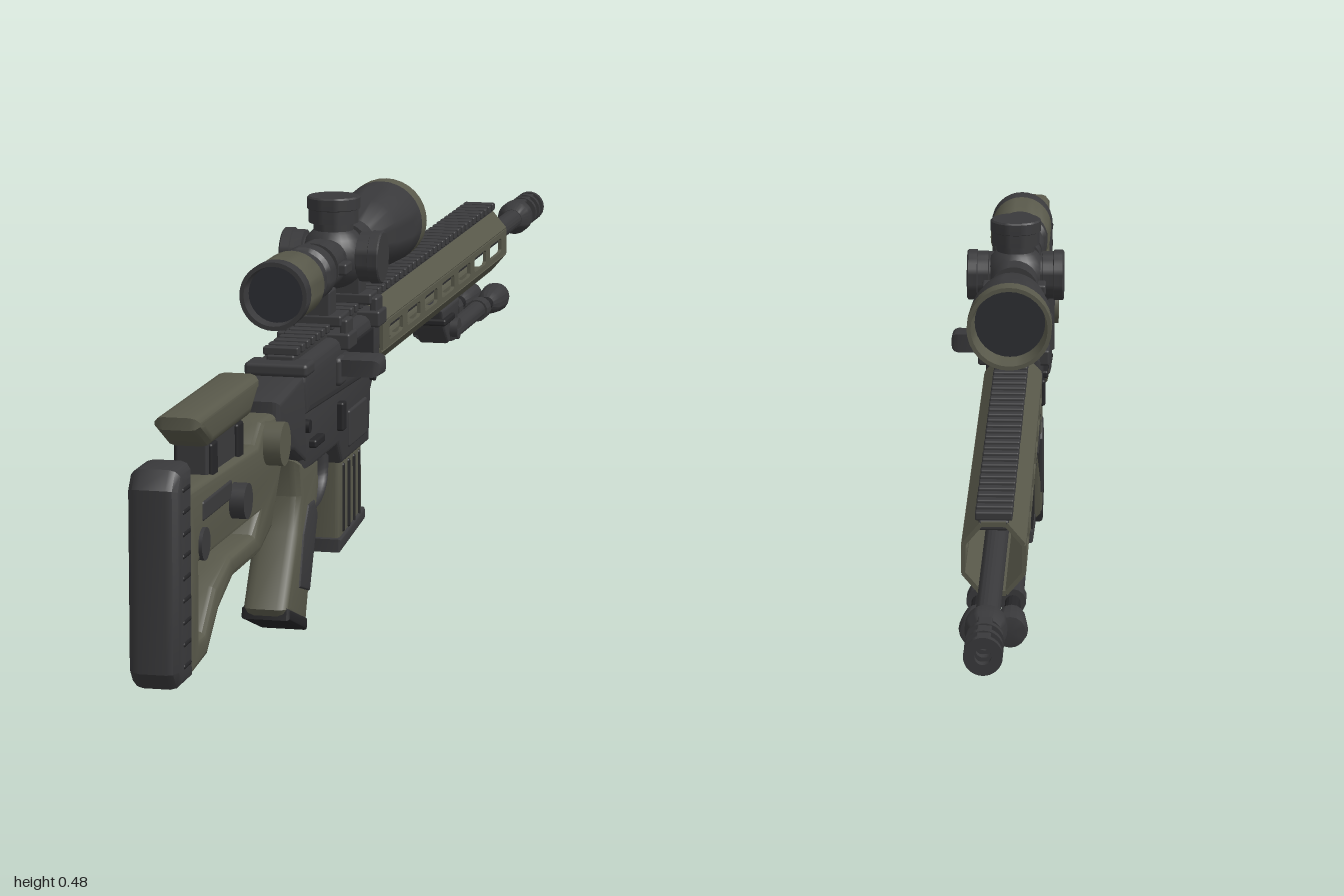
import * as THREE from 'three';
import { toCreasedNormals } from 'three/addons/utils/BufferGeometryUtils.js';
import { RoundedBoxGeometry } from 'three/addons/geometries/RoundedBoxGeometry.js';

const mat = (name, color) => {
  const m = new THREE.MeshStandardMaterial({ color });
  m.name = name;
  return m;
};

export function createModel() {
  const olive = mat('olive', 0x58584a), dark = mat('dark grey', 0x39393b);
  const black = mat('black', 0x252527), glass = mat('glass', 0x2c2d32);
  const root = new THREE.Group();
  root.name = 'rifle';
  root.position.x = -0.013;

  const add = (name, geo, material, x = 0, y = 0, z = 0, parent = root) => {
    const m = new THREE.Mesh(geo, material);
    m.name = name;
    m.position.set(x, y, z);
    parent.add(m);
    return m;
  };
  const group = (name) => {
    const g = new THREE.Group();
    g.name = name;
    root.add(g);
    return g;
  };
  const path = (pts, Type = THREE.Shape) => new Type(pts.map(p => new THREE.Vector2(...p)));
  // Solid from a side outline in (z, y), centred across x, with bevelled edges
  const sideSolid = (pts, width, bevel = 0.006, holes = []) => {
    const shape = path(pts);
    shape.holes = holes.map(h => path(h, THREE.Path));
    const g = new THREE.ExtrudeGeometry(shape, {
      depth: width - 2 * bevel, bevelEnabled: bevel > 0, bevelThickness: bevel,
      bevelSize: bevel, bevelOffset: -bevel, bevelSegments: 3, curveSegments: 8,
    });
    g.translate(0, 0, bevel - width / 2).rotateY(-Math.PI / 2);
    return toCreasedNormals(g, 0.6);
  };
  const box = (w, h, d, r = 0.003) => new RoundedBoxGeometry(w, h, d, 2, r);
  // Turned part along z: points are [radius, z] with z rising
  const turned = (pts, seg = 32) => toCreasedNormals(
    new THREE.LatheGeometry(pts.map(p => new THREE.Vector2(...p)), seg).rotateX(Math.PI / 2), 0.6);
  const rod = (r, z0, z1, seg = 20) => turned([[0, z0], [r, z0], [r, z1], [0, z1]], seg);
  const cross = (r, w, seg = 24) => new THREE.CylinderGeometry(r, r, w, seg).rotateZ(Math.PI / 2);

  // Stock frame, butt pad and cheek rest
  add('stockFrame', sideSolid([
    [0.94, 0.272], [0.65, 0.265], [0.62, 0.285], [0.5, 0.285], [0.5, 0.245], [0.54, 0.215],
    [0.585, 0.155], [0.64, 0.137], [0.76, 0.137], [0.82, 0.115], [0.87, 0.075], [0.94, 0.068],
  ], 0.052, 0.009, [[
    [0.9, 0.185], [0.645, 0.185], [0.665, 0.165], [0.77, 0.165], [0.835, 0.145], [0.88, 0.105], [0.9, 0.105],
  ]]), olive);
  add('buttPad', sideSolid([
    [0.935, 0.305], [0.985, 0.305], [1, 0.285], [1, 0.085], [0.985, 0.066], [0.935, 0.066],
  ], 0.058, 0.014), dark);
  for (let i = 0; i < 9; i++) add('padRib', box(0.061, 0.006, 0.03), black, 0, 0.09 + i * 0.024, 0.966);
  add('cheekRest', sideSolid([
    [0.9, 0.344], [0.9, 0.33], [0.85, 0.303], [0.68, 0.303], [0.64, 0.33], [0.64, 0.344],
  ], 0.054, 0.012), olive);
  add('cheekRiser', box(0.036, 0.05, 0.15), dark, 0, 0.284, 0.765);
  for (const z of [0.71, 0.82]) add('riserPost', box(0.044, 0.045, 0.025), black, 0, 0.28, z);
  add('cheekKnob', cross(0.02, 0.086), dark, 0, 0.225, 0.76);
  add('lengthKnob', cross(0.018, 0.06), dark, 0, 0.205, 0.89);
  for (const s of [-1, 1]) add('stockPanel', box(0.008, 0.022, 0.12), dark, s * 0.024, 0.24, 0.83);

  // Folding hinge
  add('hinge', cross(0.025, 0.092), olive, 0, 0.258, 0.605);
  add('hingeBlock', sideSolid([
    [0.57, 0.298], [0.44, 0.31], [0.44, 0.2], [0.5, 0.225], [0.57, 0.24],
  ], 0.06, 0.008), dark);
  add('hingePin', new THREE.CylinderGeometry(0.02, 0.02, 0.085, 24), dark, -0.022, 0.255, 0.545);

  // Receiver
  add('lowerReceiver', sideSolid([
    [0.46, 0.27], [0.46, 0.225], [0.45, 0.19], [0.275, 0.19], [0.255, 0.163], [0.118, 0.163],
    [0.108, 0.225], [0.09, 0.24], [0.09, 0.27],
  ], 0.056, 0.005), dark);
  add('upperReceiver', sideSolid([
    [0.45, 0.322], [0.46, 0.3], [0.45, 0.258], [0.08, 0.245], [0.075, 0.322],
  ], 0.068, 0.012), dark);
  add('ejectionCover', box(0.008, 0.034, 0.13), black, 0.032, 0.29, 0.19);
  add('brassDeflector', box(0.022, 0.035, 0.03, 0.006), dark, 0.03, 0.285, 0.3);
  add('boltHandle', sideSolid([
    [0.312, 0.3], [0.312, 0.28], [0.27, 0.278], [0.27, 0.302],
  ], 0.06, 0.008), dark, 0.056, 0, 0);
  add('chargingHandle', box(0.076, 0.016, 0.04, 0.005), dark, 0, 0.315, 0.45);
  for (const s of [-1, 1]) {
    add('selector', box(0.012, 0.01, 0.045), black, s * 0.031, 0.22, 0.4);
    add('boltCatch', box(0.012, 0.035, 0.018), black, s * 0.03, 0.225, 0.275);
    for (const z of [0.11, 0.44]) add('pin', cross(0.008, 0.008), black, s * 0.03, 0.245, z);
    add('magwellPanel', box(0.006, 0.045, 0.09), dark, s * 0.028, 0.2, 0.185);
  }

  // Grip
  add('grip', sideSolid([
    [0.47, 0.21], [0.37, 0.2], [0.365, 0.16], [0.395, 0.1], [0.43, 0.008], [0.44, 0.003],
    [0.52, 0.033], [0.527, 0.045], [0.475, 0.125], [0.46, 0.165],
  ], 0.056, 0.014), olive);
  add('gripPanel', sideSolid([
    [0.4, 0.15], [0.385, 0.13], [0.425, 0.045], [0.475, 0.06], [0.455, 0.12], [0.43, 0.15],
  ], 0.06, 0.004), dark);
  add('gripCap', sideSolid([
    [0.435, 0.016], [0.437, 0.001], [0.523, 0.032], [0.52, 0.046],
  ], 0.058, 0.004), black);

  // Trigger and guard
  const guard = new THREE.CatmullRomCurve3([
    [0.372, 0.185], [0.37, 0.15], [0.345, 0.127], [0.3, 0.125], [0.268, 0.145], [0.262, 0.185],
  ].map(([z, y]) => new THREE.Vector3(0, y, z)));
  add('triggerGuard', new THREE.TubeGeometry(guard, 30, 0.006, 8).scale(2, 1, 1), dark);
  const blade = new THREE.CatmullRomCurve3([
    [0.33, 0.195], [0.335, 0.17], [0.328, 0.152], [0.315, 0.142],
  ].map(([z, y]) => new THREE.Vector3(0, y, z)));
  add('trigger', new THREE.TubeGeometry(blade, 14, 0.005, 8), black);

  // Magazine with ribs
  add('magazine', sideSolid([
    [0.248, 0.18], [0.13, 0.18], [0.126, 0.07], [0.246, 0.056],
  ], 0.042, 0.005), olive);
  for (let i = 0; i < 4; i++) add('magazineRib', box(0.047, 0.085, 0.007), black, 0, 0.115, 0.145 + i * 0.027);
  add('magazineBase', sideSolid([
    [0.252, 0.068], [0.122, 0.081], [0.122, 0.066], [0.252, 0.052],
  ], 0.048, 0.003), dark);

  // Eight-sided handguard with slotted panels
  const guardBody = group('handguard');
  guardBody.position.y = 0.285;
  guardBody.scale.set(0.92, 1.08, 1);
  const ap = 0.037, half = ap * Math.tan(Math.PI / 8);
  const slots = [];
  for (let i = 0; i < 7; i++) {
    const z = 0.045 - i * 0.1;
    slots.push([[z, 0.006], [z - 0.006, 0.009], [z - 0.069, 0.009], [z - 0.075, 0.006],
      [z - 0.075, -0.006], [z - 0.069, -0.009], [z - 0.006, -0.009], [z, -0.006]]);
  }
  const panel = holes => sideSolid([[0.08, half], [0.08, -half], [-0.665, -half], [-0.665, half]], 0.005, 0, holes);
  const slotted = panel(slots), plain = panel([]);
  for (let i = 0; i < 8; i++) {
    const a = i * Math.PI / 4, open = i % 2 === 0 && i !== 2;
    const p = add('handguardPanel', open ? slotted : plain, olive, Math.cos(a) * ap, Math.sin(a) * ap, 0, guardBody);
    p.rotation.z = a;
  }
  add('barrelNut', rod(0.031, 0.04, 0.085, 16), dark, 0, 0.285, 0);
  add('gasTube', rod(0.007, -0.5, 0.06, 10), dark, 0, 0.308, 0);

  // Top rail teeth
  add('railBase', box(0.034, 0.012, 1.11), dark, 0, 0.323, -0.107);
  for (let i = 0; i < 46; i++) add('railTooth', box(0.042, 0.01, 0.013, 0.002), dark, 0, 0.333, 0.44 - i * 0.0243);

  // Barrel and muzzle brake
  add('barrel', rod(0.0135, -0.9, 0.1), dark, 0, 0.28, 0);
  const muzzle = group('muzzleBrake');
  muzzle.position.y = 0.28;
  add('brakeCollar', turned([[0, -0.925], [0.018, -0.925], [0.023, -0.91], [0.023, -0.89], [0.014, -0.875], [0, -0.875]]), dark, 0, 0, 0, muzzle);
  for (const z of [-0.95, -0.975, -1]) {
    add('brakeBaffle', turned([[0.009, z + 0.009], [0.009, z], [0.021, z], [0.021, z + 0.009], [0.009, z + 0.009]]), dark, 0, 0, 0, muzzle);
  }
  for (const s of [-1, 1]) add('brakeBar', box(0.016, 0.006, 0.085, 0.002), dark, 0, s * 0.016, -0.953, muzzle);

  // Scope
  const scope = group('scope');
  scope.position.y = 0.403;
  add('scopeTube', turned([
    [0.024, -0.01], [0.024, 0.3], [0.031, 0.3], [0.034, 0.31], [0.034, 0.335], [0.029, 0.34], [0.029, 0.36],
    [0.036, 0.365], [0.036, 0.385], [0, 0.385],
  ]), dark, 0, 0, 0, scope);
  add('objectiveBell', turned([[0.052, -0.07], [0.05, -0.03], [0.043, 0.02], [0.027, 0.085], [0.023, 0.09]]), dark, 0, 0, 0, scope);
  add('objectiveRing', turned([[0.043, -0.06], [0.047, -0.095], [0.052, -0.095], [0.052, -0.069]]), olive, 0, 0, 0, scope);
  add('objectiveLens', rod(0.045, -0.062, -0.055, 32), glass, 0, 0, 0, scope);
  add('eyepiece', turned([[0.036, 0.384], [0.039, 0.39], [0.039, 0.455]]), olive, 0, 0, 0, scope);
  add('eyepieceLip', turned([[0.039, 0.455], [0.04, 0.458], [0.04, 0.48], [0.035, 0.48], [0.033, 0.46]]), dark, 0, 0, 0, scope);
  add('eyeLens', rod(0.036, 0.455, 0.463, 32), glass, 0, 0, 0, scope);
  add('turretBody', new THREE.SphereGeometry(0.04, 24, 16), dark, 0, 0, 0.185, scope);

  // Turret knobs on the top and both sides
  const knob = new THREE.LatheGeometry([
    [0.024, 0.022], [0.024, 0.04], [0.03, 0.041], [0.03, 0.057], [0.032, 0.058], [0.032, 0.071], [0.03, 0.073], [0, 0.073],
  ].map(p => new THREE.Vector2(...p)), 28);
  const knobGeo = toCreasedNormals(knob, 0.6);
  for (const [a, k] of [[0, 1], [Math.PI / 2, 0.84], [-Math.PI / 2, 0.84]]) {
    const m = add('turretKnob', knobGeo, dark, 0, 0, 0.185, scope);
    m.rotation.z = a;
    m.scale.y = k;
  }

  // Scope rings and clamps
  for (const z of [0.27, 0.115]) {
    add('scopeRing', rod(0.031, z - 0.018, z + 0.018, 24), dark, 0, 0.403, 0);
    add('ringFoot', box(0.04, 0.04, 0.034), dark, 0, 0.357, z);
    add('ringClamp', box(0.09, 0.02, 0.04), dark, 0, 0.317, z);
    add('ringBase', box(0.068, 0.014, 0.036), dark, 0, 0.341, z);
    for (const s of [-1, 1]) {
      add('ringScrewPlate', box(0.014, 0.014, 0.03), dark, s * 0.033, 0.403, z);
      add('clampSide', box(0.01, 0.03, 0.03), dark, s * 0.036, 0.328, z);
    }
  }

  // Folded bipod
  const bipod = group('bipod');
  add('bipodMount', sideSolid([
    [-0.33, 0.245], [-0.44, 0.245], [-0.43, 0.222], [-0.41, 0.195], [-0.37, 0.195], [-0.34, 0.222],
  ], 0.04, 0.004), dark, 0, 0, 0, bipod);
  add('bipodPivot', cross(0.014, 0.06), dark, 0, 0.212, -0.39, bipod);
  add('bipodLever', box(0.05, 0.009, 0.06), black, 0, 0.229, -0.36, bipod);
  for (const s of [-1, 1]) {
    add('bipodLeg', rod(0.012, -0.56, -0.38, 14), dark, s * 0.019, 0.208, 0, bipod);
    add('bipodLegInner', rod(0.009, -0.64, -0.55, 14), black, s * 0.019, 0.206, 0, bipod);
    add('bipodCollar', rod(0.015, -0.575, -0.55, 14), dark, s * 0.019, 0.207, 0, bipod);
    add('bipodFoot', turned([[0, -0.685], [0.018, -0.682], [0.02, -0.67], [0.016, -0.63], [0.01, -0.615], [0, -0.615]], 16), dark, s * 0.019, 0.205, 0, bipod);
  }
  return root;
}
